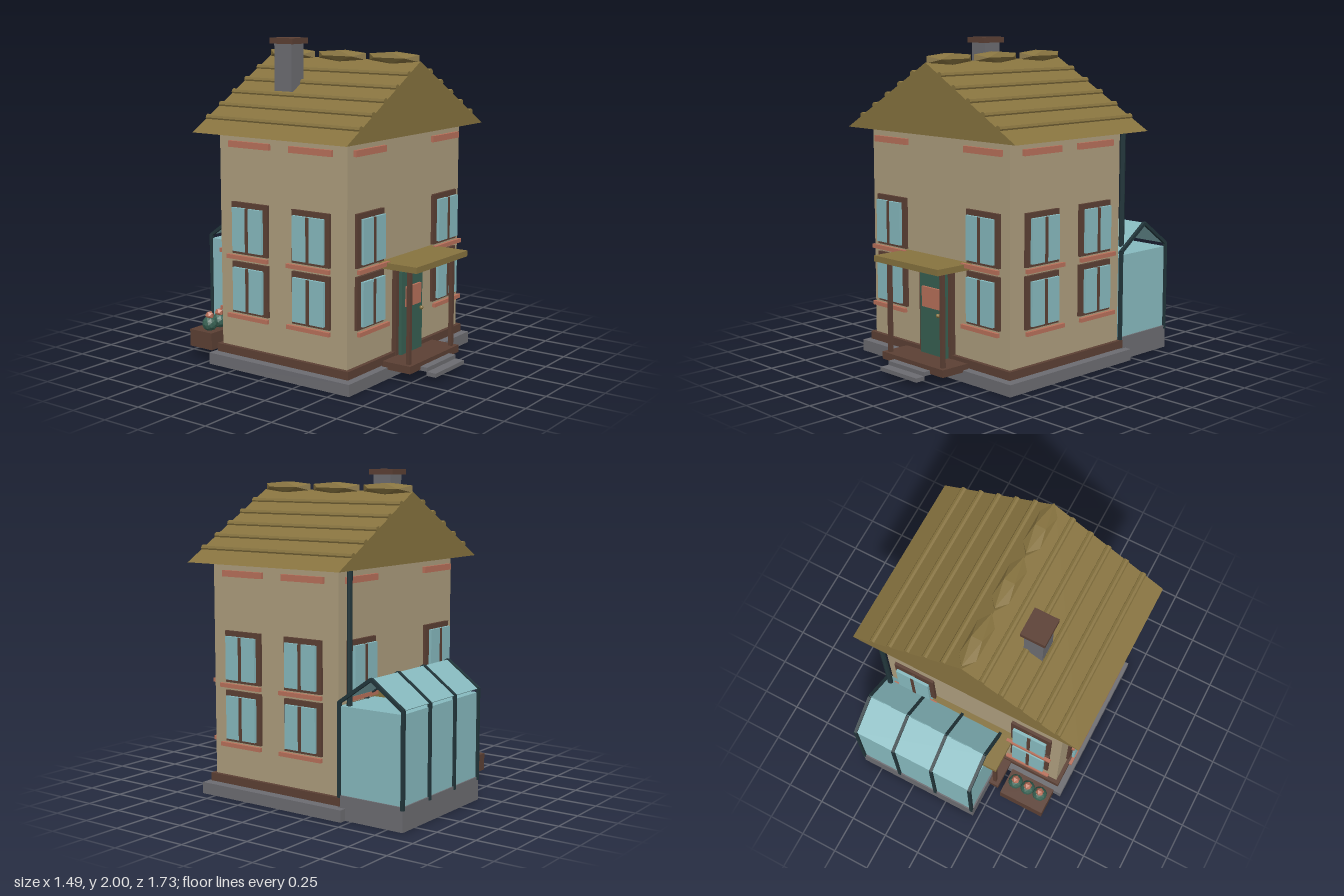
import * as THREE from 'three';

const mat = (name, color, extra = {}) => {
  const m = new THREE.MeshStandardMaterial({ color, ...extra });
  m.name = name;
  return m;
};

export function createModel() {
  const M = {
    wall: mat('plaster', 0xad9d7d),
    roof: mat('thatch', 0x87733f, { flatShading: true }),
    wood: mat('dark wood', 0x5c4034),
    clay: mat('terracotta', 0xb8705a, { flatShading: true }),
    green: mat('green paint', 0x376052, { flatShading: true }),
    glass: mat('glass', 0x87babf, { side: THREE.DoubleSide }),
    metal: mat('dark metal', 0x22363b, { flatShading: true }),
    stone: mat('stone', 0x6c6c71),
  };
  const model = new THREE.Group();
  model.name = 'house';

  const add = (parent, name, geo, material, x = 0, y = 0, z = 0) => {
    const mesh = new THREE.Mesh(geo, material);
    mesh.name = name;
    mesh.position.set(x, y, z);
    parent.add(mesh);
    return mesh;
  };
  // box given by its extents
  const box = (parent, name, material, x0, x1, y0, y1, z0, z1) =>
    add(parent, name, new THREE.BoxGeometry(x1 - x0, y1 - y0, z1 - z0), material,
      (x0 + x1) / 2, (y0 + y1) / 2, (z0 + z1) / 2);
  const group = (parent, name, x = 0, y = 0, z = 0, ry = 0) => {
    const g = new THREE.Group();
    g.name = name;
    g.position.set(x, y, z);
    g.rotation.y = ry;
    parent.add(g);
    return g;
  };

  // body
  box(model, 'foundation', M.stone, -0.675, 0.675, 0, 0.072, -0.46, 0.6);
  box(model, 'baseTrim', M.wood, -0.635, 0.635, 0.08, 0.13, -0.425, 0.565);
  box(model, 'walls', M.wall, -0.61, 0.61, 0.07, 1.45, -0.4, 0.54);

  // gable roof
  const RIDGE = 1.87, EAVE = 1.445, HALF = 0.745;
  const gable = new THREE.Shape([
    new THREE.Vector2(-HALF, EAVE), new THREE.Vector2(HALF, EAVE), new THREE.Vector2(0, RIDGE)]);
  add(model, 'roof', new THREE.ExtrudeGeometry(gable, { depth: 1.13, bevelEnabled: false }),
    M.roof, 0, 0, -0.5);

  // round battens down both slopes
  const batten = new THREE.CylinderGeometry(0.02, 0.02, 1.13, 8).rotateX(Math.PI / 2);
  for (const s of [-1, 1])
    for (let i = 1; i <= 5; i++) {
      const x = 0.121 * i;
      add(model, 'roofBatten', batten, M.roof, s * x, RIDGE - x * (RIDGE - EAVE) / HALF, 0.065);
    }

  // faceted ridge bundles
  const bundle = new THREE.IcosahedronGeometry(1, 0).scale(0.064, 0.04, 0.208);
  for (const z of [-0.32, 0.065, 0.445]) add(model, 'ridgeBundle', bundle, M.roof, 0, 1.886, z);

  // chimney
  box(model, 'chimney', M.stone, -0.345, -0.225, 1.55, 1.965, -0.19, -0.06);
  box(model, 'chimneyCap', M.wood, -0.363, -0.21, 1.965, 2, -0.213, -0.037);

  // window facing +z, with its sill
  const addWindow = (parent, x, y) => {
    const w = group(parent, 'window', x, y, 0);
    box(w, 'frameBack', M.wood, -0.136, 0.136, -0.158, 0.158, 0.008, 0.026);
    box(w, 'windowGlass', M.glass, -0.112, 0.112, -0.137, 0.128, 0.036, 0.054);
    box(w, 'mullion', M.wood, -0.011, 0.011, -0.137, 0.128, 0.026, 0.057);
    box(w, 'sill', M.clay, -0.155, 0.155, -0.186, -0.161, 0.038, 0.058);
  };
  // each wall carries two columns of windows and two vents under the eaves
  const wallDefs = [
    ['front', 0, 0.54, 0, 0.41],
    ['back', 0, -0.4, Math.PI, 0.41],
    ['left', 0.61, 0.07, Math.PI / 2, 0.227],
    ['right', -0.61, 0.07, -Math.PI / 2, 0.227],
  ];
  const faces = {};
  for (const [name, x, z, ry, off] of wallDefs) {
    const g = faces[name] = group(model, name + 'WallDetails', x, 0, z, ry);
    for (const s of [-1, 1]) {
      addWindow(g, s * off, 0.876);
      addWindow(g, s * off, 0.51);
      box(g, 'vent', M.clay, s * off - 0.153, s * off + 0.153, 1.362, 1.4, 0.01, 0.03);
    }
  }

  // door, canopy, posts and deck for front and back
  for (const side of ['front', 'back']) {
    const p = group(faces[side], side + 'Porch');
    box(p, 'doorFrame', M.wood, -0.145, 0.145, 0.1, 0.657, 0, 0.03);
    box(p, 'door', M.green, -0.115, 0.115, 0.105, 0.62, 0.03, 0.05);
    box(p, 'doorPanel', M.clay, -0.08, 0.075, 0.4, 0.525, 0.052, 0.068);
    add(p, 'doorKnob', new THREE.IcosahedronGeometry(0.013, 1), M.roof, 0.072, 0.367, 0.072);
    box(p, 'canopy', M.roof, -0.29, 0.29, 0.673, 0.71, 0, 0.262);
    box(p, 'deck', M.wood, -0.278, 0.278, 0.06, 0.106, 0.02, 0.218);
    for (const s of [-1, 1])
      box(p, 'porchPost', M.wood, s * 0.24 - 0.012, s * 0.24 + 0.012, 0.1, 0.675, 0.172, 0.196);
  }
  box(model, 'upperStep', M.stone, -0.165, 0.165, 0.055, 0.08, 0.6, 0.805);
  box(model, 'lowerStep', M.stone, -0.165, 0.165, 0.03, 0.055, 0.8, 0.865);

  // greenhouse
  const gh = group(model, 'greenhouse');
  const Z0 = -0.415, Z1 = -0.85, ZM = -0.635, YE = 0.69, YR = 0.845;
  box(gh, 'greenhouseBase', M.stone, -0.21, 0.63, 0, 0.145, -0.855, -0.41);
  box(gh, 'greenhouseGlass', M.glass, -0.2, 0.62, 0.145, 0.668, -0.846, Z0);
  const slope = (name, width, thick, material, x, z) => {
    const dz = z - ZM, dy = YE - YR;
    const m = add(gh, name, new THREE.BoxGeometry(width, thick, Math.hypot(dz, dy)), material,
      x, (YE + YR) / 2, (z + ZM) / 2);
    m.rotation.x = -Math.atan2(dy, dz);
    if (dz < 0) m.rotation.x = Math.atan2(dy, -dz);
  };
  for (const z of [Z0, Z1]) slope('greenhouseRoofPane', 0.82, 0.005, M.glass, 0.21, z);
  for (let i = 0; i < 4; i++) {
    const x = -0.2 + i * 0.274;
    for (const z of [Z0, Z1]) {
      box(gh, 'greenhousePost', M.metal, x - 0.01, x + 0.01, 0.125, YE + 0.005, z - 0.01, z + 0.01);
      slope('greenhouseRafter', 0.02, 0.02, M.metal, x, z);
    }
  }

  // downpipe at the back corner
  add(model, 'downpipe', new THREE.CylinderGeometry(0.017, 0.017, 1.38, 8), M.metal, 0.585, 0.76, -0.46);

  // planter with three potted blooms
  box(model, 'planter', M.wood, -0.628, -0.318, 0.07, 0.178, -0.66, -0.48);
  const leaves = new THREE.IcosahedronGeometry(0.049, 1);
  const bloom = new THREE.IcosahedronGeometry(0.029, 0);
  for (const x of [-0.56, -0.47, -0.38]) {
    add(model, 'plantLeaves', leaves, M.green, x, 0.215, -0.555);
    add(model, 'plantBloom', bloom, M.clay, x, 0.268, -0.555);
  }
  return model;
}
